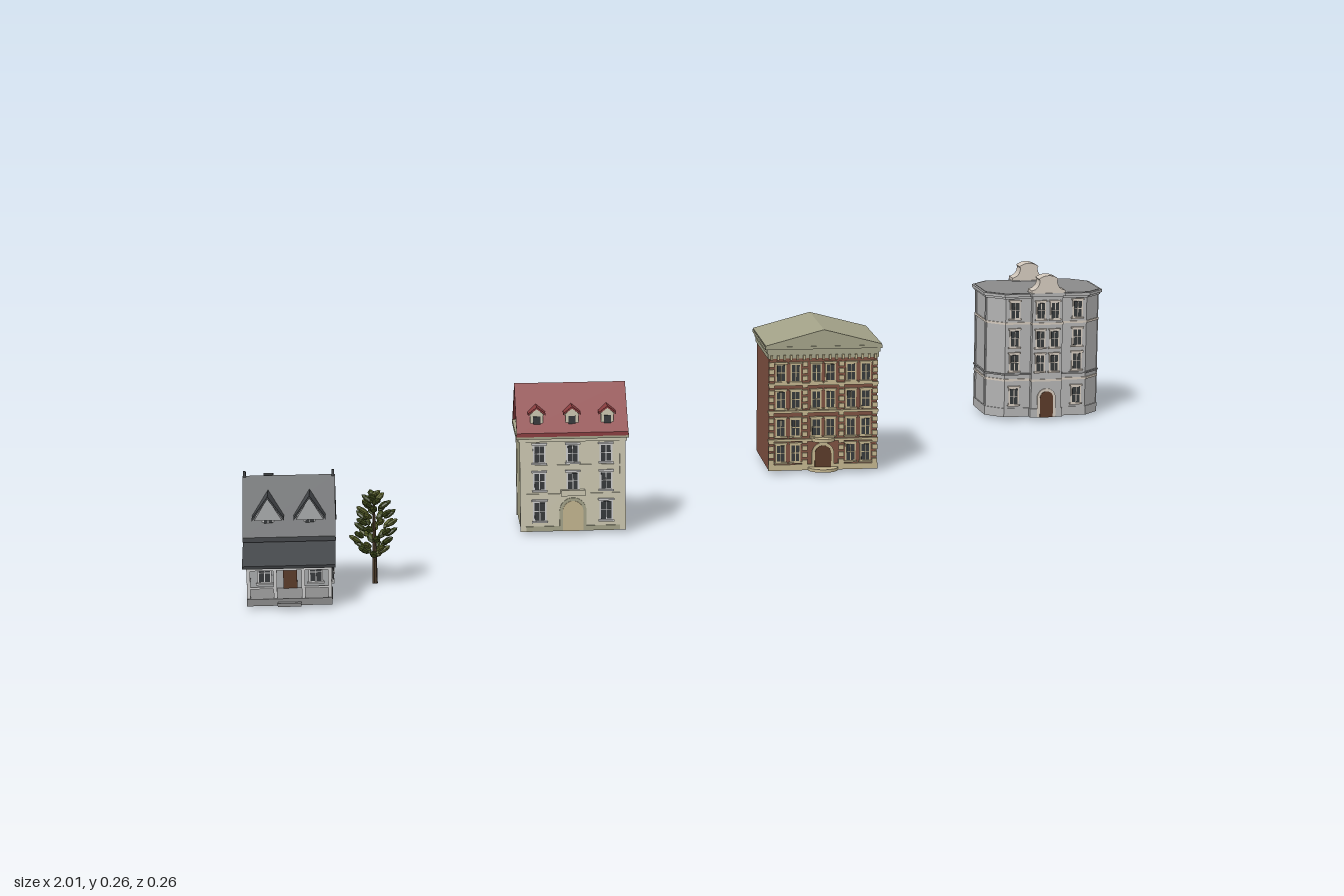
import * as THREE from 'three';

const mat = (color) => new THREE.MeshStandardMaterial({ color, side: THREE.DoubleSide, flatShading: true });
const M = {
  stone: mat(0xb2b2b2), pale: mat(0xd2c8bc), flat: mat(0x8a8a8a), dark: mat(0x35383a),
  brick: mat(0x7e5040), trim: mat(0xa3a288), sand: mat(0xc2b48e),
  cream: mat(0xcbc7b0), olive: mat(0xa3a084), red: mat(0x8a3c3e),
  siding: mat(0xa8aaac), shingle: mat(0x44474a), white: mat(0xd0d0cc),
  bark: mat(0x4a3a2a), leaf: mat(0x3f4a1c), leaf2: mat(0x59602a), wood: mat(0x5a3a28),
};

function add(parent, name, geo, m, x = 0, y = 0, z = 0) {
  const mesh = new THREE.Mesh(geo, m);
  mesh.name = name;
  mesh.position.set(x, y, z);
  parent.add(mesh);
  return mesh;
}
// Box standing on height y
const box = (p, name, w, h, d, m, x = 0, y = 0, z = 0) =>
  add(p, name, new THREE.BoxGeometry(w, h, d), m, x, y + h / 2, z);

function group(parent, name, x, y, z, ry = 0) {
  const g = new THREE.Group();
  g.name = name;
  g.position.set(x, y, z);
  g.rotation.y = ry;
  parent.add(g);
  return g;
}
// Group whose +z points out of a wall at the given distance
const wall = (p, name, angle, dist) =>
  group(p, name, Math.sin(angle) * dist, 0, Math.cos(angle) * dist, angle);

const shapeOf = (pts) => new THREE.Shape(pts.map(([x, y]) => new THREE.Vector2(x, y)));
function extrude(shape, depth) {
  const g = new THREE.ExtrudeGeometry(shape, { depth, bevelEnabled: false, curveSegments: 8 });
  return g.translate(0, 0, -depth / 2);
}
// Ridge runs along z
function gableRoof(p, name, w, len, rise, t, roofMat, endMat, inset = 0.004) {
  const h = w / 2;
  add(p, name, extrude(shapeOf([[-h, 0], [0, rise], [h, 0], [h, -t], [0, rise - t], [-h, -t]]), len), roofMat);
  add(p, 'gableEnds', extrude(shapeOf([[-h + inset, -t], [0, rise - t * 0.8], [h - inset, -t]]), len - 2 * inset), endMat);
}
function archShape(w, h) {
  const s = new THREE.Shape();
  s.moveTo(-w / 2, 0);
  s.lineTo(w / 2, 0);
  s.lineTo(w / 2, h - w / 2);
  s.absarc(0, h - w / 2, w / 2, 0, Math.PI, false);
  s.closePath();
  return s;
}
function archDoor(p, w, h, x, frame, leaf) {
  add(p, 'doorSurround', extrude(archShape(w + 0.01, h + 0.005), 0.006), frame, x);
  add(p, 'door', extrude(archShape(w, h), 0.008), leaf, x);
}
function windowUnit(p, w, h, x, y, frame) {
  box(p, 'windowFrame', w + 0.005, h + 0.005, 0.004, frame, x, y - 0.0025);
  box(p, 'windowPane', w, h, 0.005, M.dark, x, y, 0.0005);
  box(p, 'windowBar', 0.0012, h, 0.006, frame, x, y, 0.0005);
  box(p, 'windowBar', w, 0.0012, 0.006, frame, x, y + h / 2, 0.0005);
  box(p, 'windowSill', w + 0.009, 0.0025, 0.009, frame, x, y - 0.004);
  box(p, 'windowHead', w + 0.009, 0.003, 0.009, frame, x, y + h + 0.002);
}
const windowGrid = (p, xs, ys, w, h, frame) =>
  ys.forEach((y) => xs.forEach((x) => windowUnit(p, w, h, x, y, frame)));

// Shingled house with a front porch
function house(root) {
  const g = group(root, 'shingledHouse', -0.905, 0.02, -0.01, -0.74);
  box(g, 'houseBody', 0.118, 0.088, 0.114, M.siding, 0, 0, -0.028);
  const roof = group(g, 'mainRoof', 0, 0.088, -0.028, Math.PI / 2);
  gableRoof(roof, 'roofSlopes', 0.132, 0.134, 0.077, 0.007, M.shingle, M.siding, 0.008);
  // front cross gables
  for (const x of [-0.03, 0.03]) {
    const d = group(g, 'frontDormer', x, 0.109, 0.0);
    box(d, 'dormerBody', 0.034, 0.03, 0.052, M.siding, 0, -0.026, -0.006);
    gableRoof(group(d, 'dormerRoof', 0, 0.006, 0), 'roofSlopes', 0.046, 0.066, 0.032, 0.004, M.shingle, M.siding, 0.003);
    windowUnit(wall(d, 'dormerWindow', 0, 0.02), 0.012, 0.017, 0, -0.016, M.white);
  }
  // porch
  box(g, 'porchFloor', 0.122, 0.01, 0.062, M.flat, 0, 0, 0.06);
  const slab = box(g, 'porchRoof', 0.133, 0.005, 0.068, M.shingle, 0, 0.065, 0.06);
  slab.rotation.x = 0.32;
  box(g, 'porchBeam', 0.122, 0.006, 0.005, M.white, 0, 0.051, 0.086);
  for (const x of [-0.058, -0.02, 0.02, 0.058]) box(g, 'porchPost', 0.005, 0.05, 0.005, M.white, x, 0.005, 0.086);
  for (const x of [-0.039, 0.039]) box(g, 'porchRail', 0.036, 0.003, 0.003, M.white, x, 0.024, 0.086);
  for (const s of [-1, 1]) box(g, 'sideRail', 0.003, 0.003, 0.056, M.white, s * 0.058, 0.024, 0.06);
  box(g, 'porchStep', 0.034, 0.005, 0.012, M.flat, 0, 0, 0.093);
  const front = wall(g, 'frontWall', 0, 0.029);
  box(front, 'frontDoor', 0.02, 0.042, 0.006, M.wood, 0, 0.01);
  windowGrid(front, [-0.037, 0.037], [0.02], 0.016, 0.026, M.white);
  windowGrid(wall(g, 'backWall', Math.PI, 0.085), [-0.036, 0, 0.036], [0.012, 0.052], 0.014, 0.024, M.white);
  for (const s of [-1, 1]) {
    const side = wall(g, 'sideWall', s * Math.PI / 2, 0.059);
    windowGrid(side, [s * 0.028 - 0.028, s * 0.028 + 0.028], [0.014, 0.052], 0.014, 0.024, M.white);
    windowUnit(side, 0.012, 0.02, s * 0.028, 0.1, M.white);
    box(g, 'ridgeFinial', 0.004, 0.012, 0.004, M.shingle, s * 0.064, 0.16, -0.028);
  }
  box(g, 'chimney', 0.014, 0.05, 0.014, M.shingle, -0.03, 0.112, -0.05);
}

// Leafy tree beside the house
function tree(root) {
  const g = group(root, 'tree', -0.785, 0.0, 0.04);
  add(g, 'trunk', new THREE.CylinderGeometry(0.0018, 0.004, 0.13, 7), M.bark, 0, 0.08, 0);
  const leaf = new THREE.SphereGeometry(1, 6, 4);
  for (let i = 0; i < 46; i++) {
    const t = i / 45, a = i * 2.4;
    const r = 0.031 * Math.sin(Math.PI * (0.16 + 0.8 * t)) * (0.65 + 0.35 * ((i * 7) % 5) / 4);
    const m = add(g, 'leafClump', leaf, i % 3 ? M.leaf : M.leaf2, Math.cos(a) * r, 0.06 + 0.09 * t, Math.sin(a) * r);
    m.scale.set(0.011, 0.004, 0.006);
    m.rotation.set(0, -a, 0.6);
  }
}

// Plastered town house with a red gabled roof
function redRoofHouse(root) {
  const g = group(root, 'redRoofHouse', -0.329, 0.02, 0, -0.735);
  box(g, 'houseBody', 0.162, 0.148, 0.116, M.olive);
  box(g, 'cornice', 0.17, 0.005, 0.124, M.cream, 0, 0.143);
  box(g, 'corniceTop', 0.176, 0.006, 0.13, M.trim, 0, 0.148);
  gableRoof(group(g, 'mainRoof', 0, 0.158, 0, Math.PI / 2), 'roofSlopes', 0.132, 0.174, 0.067, 0.006, M.red, M.olive);
  for (const a of [0, Math.PI]) {
    const f = wall(g, a ? 'backFacade' : 'frontFacade', a, 0.058);
    box(f, 'plaster', 0.162, 0.143, 0.003, M.cream);
    box(f, 'plinth', 0.164, 0.008, 0.006, M.trim);
    for (const y of [0.056, 0.102]) box(f, 'stringCourse', 0.164, 0.004, 0.007, M.cream, 0, y);
    for (const x of [-0.078, 0.078]) box(f, 'cornerPilaster', 0.009, 0.143, 0.007, M.cream, x);
    archDoor(f, 0.032, 0.048, 0, M.trim, M.sand);
    windowGrid(f, [-0.052, 0.052], [0.018], 0.016, 0.028, M.white);
    windowGrid(f, [-0.052, 0, 0.052], [0.067, 0.111], 0.015, 0.025, M.white);
    box(f, 'balcony', 0.038, 0.009, 0.01, M.cream, 0, 0.057, 0.004);
    for (const x of [-0.055, 0, 0.055]) {
      const d = group(f, 'roofDormer', x, 0.162, -0.02);
      box(d, 'dormerBody', 0.02, 0.023, 0.03, M.cream);
      gableRoof(group(d, 'dormerRoof', 0, 0.025, 0), 'roofSlopes', 0.027, 0.036, 0.01, 0.003, M.red, M.cream, 0.002);
      box(d, 'dormerPane', 0.011, 0.015, 0.004, M.dark, 0, 0.005, 0.0145);
    }
  }
}

// Brick block with an ornate street front and a low gabled roof
function brickBlock(root) {
  const g = group(root, 'brickBlock', 0.28, 0.02, -0.006, -0.727);
  box(g, 'brickBody', 0.184, 0.198, 0.16, M.brick);
  box(g, 'cornice', 0.188, 0.009, 0.163, M.trim, 0, 0.192);
  box(g, 'corniceMiddle', 0.192, 0.007, 0.167, M.trim, 0, 0.201);
  box(g, 'corniceTop', 0.198, 0.005, 0.172, M.trim, 0, 0.208);
  gableRoof(group(g, 'lowRoof', 0, 0.215, 0), 'roofSlopes', 0.197, 0.172, 0.026, 0.003, M.trim, M.trim, 0.001);
  const f = wall(g, 'streetFront', 0, 0.08);
  box(f, 'stoneBase', 0.186, 0.01, 0.006, M.sand);
  for (const y of [0.05, 0.099, 0.146]) box(f, 'stringCourse', 0.187, 0.004, 0.009, M.sand, 0, y);
  for (const x of [-0.088, -0.031, 0.031, 0.088]) {
    for (let y = 0.01; y < 0.188; y += 0.012) box(f, 'quoin', 0.009, 0.008, 0.007, M.sand, x, y);
  }
  const cols = [-0.072, -0.047, 0.047, 0.072];
  windowGrid(f, cols, [0.016, 0.06, 0.108, 0.154], 0.013, 0.027, M.sand);
  windowGrid(f, [-0.012, 0.012], [0.06, 0.108, 0.154], 0.013, 0.027, M.sand);
  archDoor(f, 0.028, 0.042, 0, M.sand, M.wood);
  for (let i = 0; i < 17; i++) box(f, 'corniceBracket', 0.004, 0.008, 0.012, M.sand, -0.088 + i * 0.011, 0.19);
  // rounded steps and balcony at the entrance
  const half = (r, h) => new THREE.CylinderGeometry(r, r, h, 20, 1, false, -Math.PI / 2, Math.PI);
  add(f, 'roundStep', half(0.026, 0.005), M.sand, 0, 0.0025, 0);
  add(f, 'roundBalcony', half(0.02, 0.006), M.sand, 0, 0.053, 0);
}

// Grey stone block with cut corners and curved gables
function stoneBlock(root) {
  const g = group(root, 'stoneBlock', 0.882, 0.02, 0.012, -0.68);
  const tier = (name, grow, y, h, m) => {
    const a = 0.103 + grow, b = 0.071 + grow, c = 0.028 + grow * 0.5;
    const s = shapeOf([[-a, -b + c], [-a + c, -b], [a - c, -b], [a, -b + c], [a, b - c], [a - c, b], [-a + c, b], [-a, b - c]]);
    add(g, name, extrude(s, h).rotateX(-Math.PI / 2), m, 0, y + h / 2, 0);
  };
  tier('body', 0, 0, 0.222, M.stone);
  tier('plinth', 0.002, 0, 0.016, M.stone);
  tier('lowerBand', 0.002, 0.066, 0.004, M.pale);
  tier('lowerLedge', 0.003, 0.077, 0.003, M.flat);
  tier('upperBand', 0.002, 0.17, 0.004, M.pale);
  tier('cornice', 0.004, 0.217, 0.004, M.stone);
  tier('corniceTop', 0.007, 0.221, 0.005, M.stone);
  tier('flatRoof', 0.003, 0.226, 0.001, M.flat);
  // curved gable outline
  const s = new THREE.Shape();
  s.moveTo(-0.031, 0);
  s.lineTo(0.031, 0);
  s.lineTo(0.031, 0.005);
  s.quadraticCurveTo(0.017, 0.007, 0.016, 0.023);
  s.lineTo(0.018, 0.026);
  s.quadraticCurveTo(0, 0.038, -0.018, 0.026);
  s.lineTo(-0.016, 0.023);
  s.quadraticCurveTo(-0.017, 0.007, -0.031, 0.005);
  s.closePath();
  for (const a of [0, Math.PI]) {
    const f = wall(g, a ? 'backFacade' : 'frontFacade', a, 0.071);
    box(f, 'centralBay', 0.056, 0.226, 0.022, M.stone);
    box(f, 'bayPlinth', 0.06, 0.016, 0.026, M.stone);
    for (const y of [0.066, 0.17]) box(f, 'bayBand', 0.058, 0.004, 0.025, M.pale, 0, y);
    box(f, 'bayCornice', 0.063, 0.006, 0.03, M.stone, 0, 0.222);
    add(f, 'curvedGable', extrude(s, 0.026), M.pale, 0, 0.228, 0);
    windowGrid(f, [-0.058], [0.024, 0.086, 0.13, 0.182], 0.014, 0.028, M.pale);
    windowGrid(f, [0.058], [0.024, 0.086, 0.13, 0.182], 0.014, 0.028, M.pale);
    const bay = wall(f, 'bayFront', 0, 0.011);
    windowGrid(bay, [-0.013, 0.013], [0.086, 0.13, 0.182], 0.013, 0.028, M.pale);
    archDoor(bay, 0.024, 0.048, 0, M.pale, M.wood);
  }
  // shallow piers on the short ends
  for (const e of [-1, 1]) {
    const f = wall(g, 'endWall', e * Math.PI / 2, 0.103);
    for (const x of [-0.038, 0.038]) box(f, 'pier', 0.008, 0.218, 0.004, M.stone, x);
  }
}

export function createModel() {
  const root = new THREE.Group();
  root.name = 'streetBuildings';
  house(root);
  tree(root);
  redRoofHouse(root);
  brickBlock(root);
  stoneBlock(root);
  return root;
}
